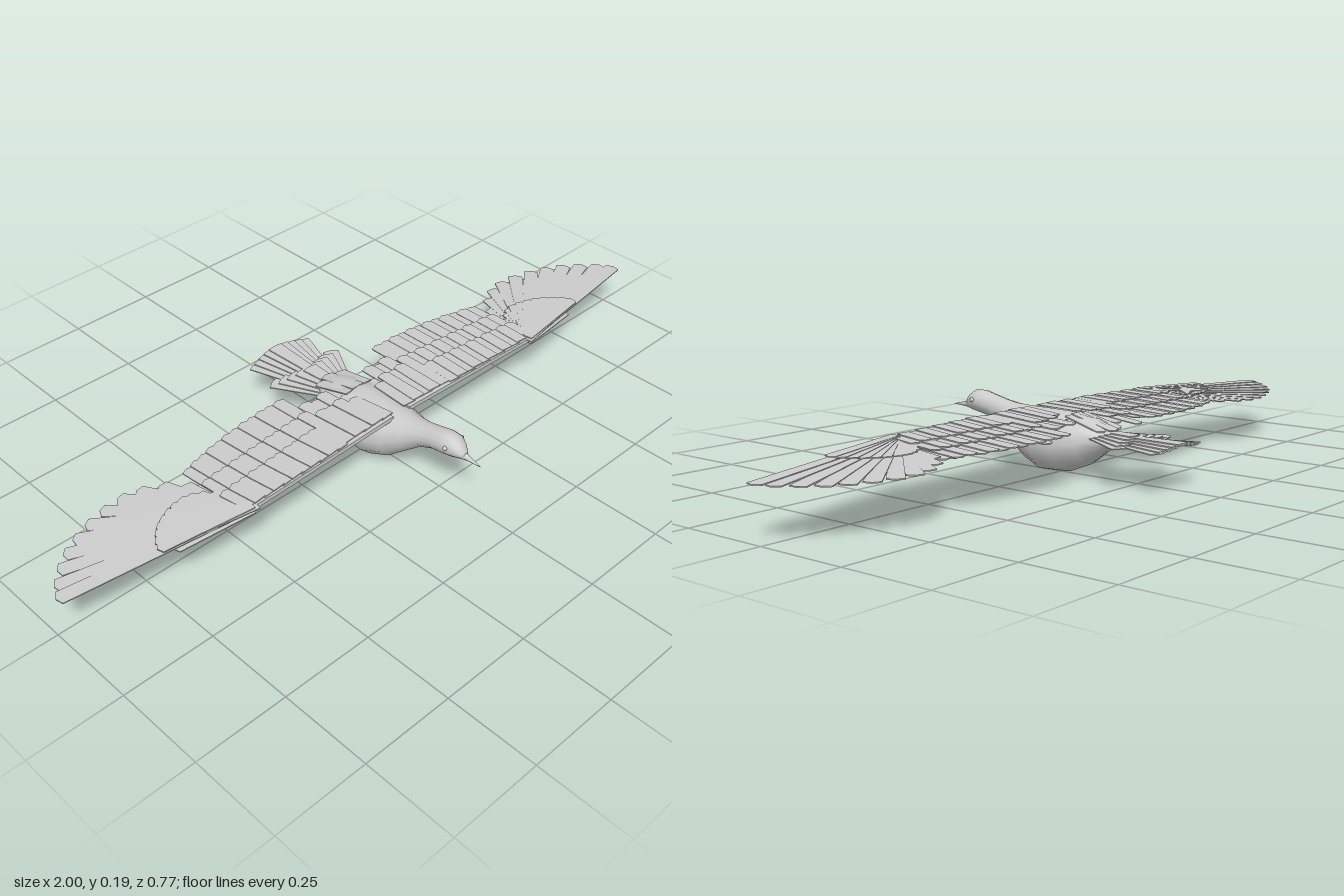
import * as THREE from 'three';

const plumage = new THREE.MeshStandardMaterial({ color: 0xcccccc });
plumage.name = 'pale grey plumage';

const lerp = THREE.MathUtils.lerp;
const wingY = (x, z) => 0.163 - 0.028 * Math.abs(x) - 0.05 * (0.1 - z);

function add(parent, name, geometry) {
  const mesh = new THREE.Mesh(geometry, plumage);
  mesh.name = name;
  parent.add(mesh);
  return mesh;
}

// Thin tapered plate from root to tip ([x, y, z]) with a slightly pointed end
function feather(parent, name, root, tip, w0, w1, thick = 0.003, point = 0.008) {
  const geo = new THREE.BoxGeometry(1, thick, 1, 2, 1, 3);
  const a = new THREE.Vector3(...root), d = new THREE.Vector3(...tip).sub(a);
  const side = new THREE.Vector3(d.z, 0, -d.x).normalize();
  const along = d.clone().normalize();
  const p = geo.attributes.position, v = new THREE.Vector3();
  for (let i = 0; i < p.count; i++) {
    const u = p.getZ(i) + 0.5, s = p.getX(i);
    v.copy(a).addScaledVector(d, u).addScaledVector(side, s * lerp(w0, w1, u));
    if (u > 0.99) v.addScaledVector(along, -point * Math.abs(s) * 2);
    p.setXYZ(i, v.x, v.y + p.getY(i), v.z);
  }
  geo.computeVertexNormals();
  return add(parent, name, geo);
}

// Smooth body lofted through elliptical rings: [z, bottom, top, half width]
function bodyGeometry() {
  const rings = [
    [0.338, 0.149, 0.151, 0.001], [0.333, 0.143, 0.162, 0.011], [0.318, 0.138, 0.181, 0.022],
    [0.298, 0.134, 0.194, 0.031], [0.27, 0.129, 0.194, 0.034], [0.235, 0.122, 0.186, 0.031],
    [0.195, 0.105, 0.177, 0.034], [0.15, 0.068, 0.17, 0.05], [0.1, 0.027, 0.168, 0.073],
    [0.04, 0.002, 0.168, 0.09], [-0.03, 0.005, 0.167, 0.09], [-0.1, 0.033, 0.157, 0.073],
    [-0.15, 0.072, 0.142, 0.05], [-0.18, 0.098, 0.126, 0.025], [-0.19, 0.111, 0.113, 0.002],
  ];
  const n = 12, pos = [], idx = [];
  rings.forEach(([z, lo, hi, w], i) => {
    for (let j = 0; j < n; j++) {
      const a = (j / n) * Math.PI * 2;
      pos.push(w * Math.cos(a), (lo + hi) / 2 + ((hi - lo) / 2) * Math.sin(a), z);
      if (i === rings.length - 1) continue;
      const k = (j + 1) % n, A = i * n + j, B = A + n, C = i * n + k, D = C + n;
      idx.push(A, B, C, B, D, C);
    }
  });
  const geo = new THREE.BufferGeometry();
  geo.setAttribute('position', new THREE.Float32BufferAttribute(pos, 3));
  geo.setIndex(idx);
  geo.computeVertexNormals();
  return geo;
}

// One wing; s = 1 is the left side, -1 the right
function wing(s) {
  const g = new THREE.Group();
  g.name = s > 0 ? 'leftWing' : 'rightWing';
  const plume = (name, x0, z0, x1, z1, w0, w1, dy = 0, tipDrop = 0) =>
    feather(g, name, [s * x0, wingY(x0, z0) + dy, z0], [s * x1, wingY(x1, z1) + dy - tipDrop, z1], w0, w1);

  // Leading arm
  feather(g, 'wingArm', [s * 0.03, 0.16, 0.085], [s * 0.5, 0.149, 0.096], 0.05, 0.036, 0.012, 0);

  // Primaries fan out around the wrist
  const tips = [[0.56, -0.085], [0.6, -0.127], [0.65, -0.153], [0.7, -0.163], [0.755, -0.157], [0.81, -0.14],
    [0.86, -0.117], [0.905, -0.09], [0.945, -0.055], [0.98, -0.015], [1.0, 0.022]];
  tips.forEach(([x, z], i) => {
    const t = i / 10, rx = lerp(0.53, 0.5, t), rz = lerp(0.075, 0.108, t);
    plume('primaryFeather', rx, rz, x, z, 0.026, 0.042, -0.006 + t * 0.006);
    // Upper and lower primary coverts
    plume('primaryCovert', rx, rz, lerp(rx, x, 0.5), lerp(rz, z, 0.5), 0.026, 0.034, 0.003 + t * 0.004);
    plume('underPrimaryCovert', rx, rz, lerp(rx, x, 0.42), lerp(rz, z, 0.42), 0.026, 0.034, -0.014 + t * 0.004, 0.006);
  });
  // Small thumb feather at the wrist
  plume('thumbFeather', 0.49, 0.11, 0.64, 0.088, 0.038, 0.024, 0.004);

  // Secondaries and their covert rows
  for (let i = 0; i < 11; i++) {
    const t = i / 10, x = lerp(0.215, 0.515, t), stack = (i % 2) * 0.002;
    const end = -0.172 + 0.045 * t * t;
    plume('secondaryFeather', x - 0.01, 0.1, x, end, 0.036, 0.038, -0.003 + stack);
    plume('greaterCovert', x - 0.01, 0.1, x, -0.075 + 0.02 * t, 0.036, 0.036, 0.002 + stack);
    plume('lesserCovert', x - 0.01, 0.108, x, -0.005 + 0.02 * t, 0.036, 0.036, 0.006 + stack);
    plume('underGreaterCovert', x - 0.03, 0.09, x, -0.1 + 0.025 * t, 0.036, 0.036, -0.01 - stack, 0.008);
    plume('underLesserCovert', x - 0.05, 0.085, x - 0.01, -0.03, 0.036, 0.036, -0.016 - stack, 0.012);
  }

  // Tertials and shoulder feathers next to the body
  [[0.05, -0.06], [0.085, -0.11], [0.115, -0.1], [0.145, -0.112], [0.182, -0.172]].forEach(([x, end], i) => {
    plume('tertialFeather', x - 0.005, 0.1, x, end, 0.04, 0.038, -0.002 + (i % 2) * 0.002);
    plume('shoulderFeather', x - 0.01, 0.1, x, end * 0.45, 0.04, 0.036, 0.005 + (i % 2) * 0.002);
    plume('underTertial', x, 0.085, x + 0.01, end * 0.7, 0.04, 0.036, -0.016, 0.014);
  });
  return g;
}

export function createModel() {
  const bird = new THREE.Group();
  bird.name = 'flyingBird';
  add(bird, 'body', bodyGeometry());

  // Slender beak with a concave flare at the base
  const profile = [[0.0005, 0.06], [0.003, 0.045], [0.005, 0.03], [0.008, 0.012], [0.012, 0]]
    .reverse().map(([r, y]) => new THREE.Vector2(r, y));
  const beak = add(bird, 'beak', new THREE.LatheGeometry(profile, 10));
  beak.rotation.x = Math.PI / 2 + 0.08;
  beak.position.set(0, 0.15, 0.326);

  // Paired eyes and wings
  for (const s of [1, -1]) {
    const eye = add(bird, s > 0 ? 'leftEye' : 'rightEye', new THREE.SphereGeometry(0.006, 12, 8));
    eye.position.set(s * 0.031, 0.168, 0.292);
    bird.add(wing(s));
  }

  // Tail fan: long feathers with a shorter, wider covert fan above
  const tail = new THREE.Group();
  tail.name = 'tail';
  for (let i = -4; i <= 4; i++) {
    const t = i / 4, lift = 0.0035 * (4 - Math.abs(i));
    feather(tail, 'tailFeather', [t * 0.02, 0.106 + lift, -0.13],
      [t * 0.088, 0.107 + lift, -0.388 + 0.014 * t * t], 0.02, 0.044, 0.003, 0.002);
    feather(tail, 'tailCovert', [t * 0.025, 0.112 + lift, -0.11],
      [t * 0.108, 0.11 + lift, -0.245 - 0.03 * Math.abs(t)], 0.025, 0.044, 0.003, 0.004);
  }
  bird.add(tail);

  // Rump feathers covering the root of the tail
  for (const t of [-1, 0, 1]) {
    feather(bird, 'rumpFeather', [t * 0.025, 0.163 - 0.003 * Math.abs(t), -0.05],
      [t * 0.034, 0.13, -0.18 + 0.012 * Math.abs(t)], 0.04, 0.04);
  }
  return bird;
}
